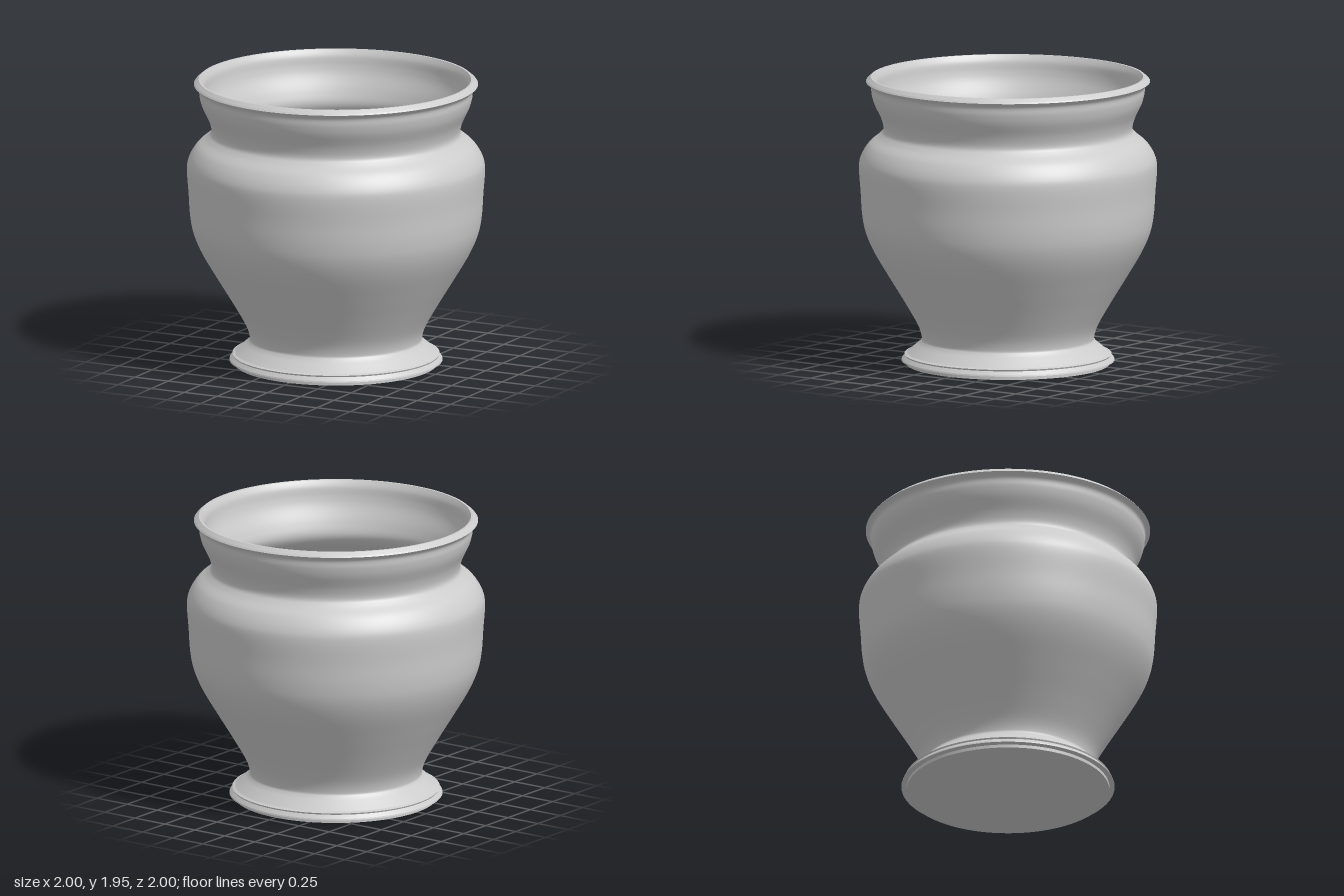
import * as THREE from 'three';

const SEGMENTS = 128;
const material = new THREE.MeshStandardMaterial({ color: 0xcccccc });

const toPoints = (pairs) => pairs.map(([r, y]) => new THREE.Vector2(r, y));

// Smooth profile through a few [radius, height] points
const smooth = (pairs, steps) => new THREE.SplineCurve(toPoints(pairs)).getPoints(steps);

function turned(name, points) {
  const mesh = new THREE.Mesh(new THREE.LatheGeometry(points, SEGMENTS), material);
  mesh.name = name;
  return mesh;
}

// Straight-sided profile: one lathe per segment keeps its edges sharp
function stepped(name, pairs) {
  const group = new THREE.Group();
  group.name = name;
  for (let i = 1; i < pairs.length; i++) {
    group.add(turned(name + i, toPoints([pairs[i - 1], pairs[i]])));
  }
  return group;
}

export function createModel() {
  const pot = new THREE.Group();
  pot.name = 'pot';

  // Base disc and stepped foot ring
  pot.add(stepped('foot', [
    [0, 0], [0.68, 0], [0.68, 0.022], [0.715, 0.027], [0.712, 0.036], [0.69, 0.06], [0.695, 0.07], [0.675, 0.078],
  ]));

  // Outer wall: flared foot, belly, shoulder, neck and collar
  pot.add(turned('outerWall', smooth([
    [0.675, 0.078], [0.63, 0.115], [0.588, 0.153], [0.578, 0.185], [0.605, 0.27], [0.69, 0.42],
    [0.8, 0.6], [0.9, 0.77], [0.955, 0.9], [0.978, 1.02], [0.988, 1.17], [0.999, 1.33],
    [0.985, 1.41], [0.935, 1.49], [0.865, 1.55], [0.835, 1.595], [0.85, 1.67],
    [0.895, 1.765], [0.914, 1.83], [0.921, 1.885], [0.953, 1.918],
  ], 120)));

  // Bevelled lip
  pot.add(stepped('lip', [[0.953, 1.918], [0.945, 1.928], [0.92, 1.949], [0.905, 1.949]]));

  // Inner wall, following the outer one down to the floor
  pot.add(turned('innerWall', smooth([
    [0.905, 1.949], [0.882, 1.905], [0.872, 1.84], [0.855, 1.78], [0.81, 1.68], [0.79, 1.595],
    [0.825, 1.525], [0.9, 1.455], [0.943, 1.39], [0.955, 1.33], [0.943, 1.17], [0.934, 1.03],
    [0.91, 0.91], [0.86, 0.79], [0.76, 0.62], [0.65, 0.44], [0.565, 0.29], [0.53, 0.19],
  ], 100)));

  // Inside floor
  pot.add(turned('floor', toPoints([[0.53, 0.19], [0, 0.19]])));

  return pot;
}
